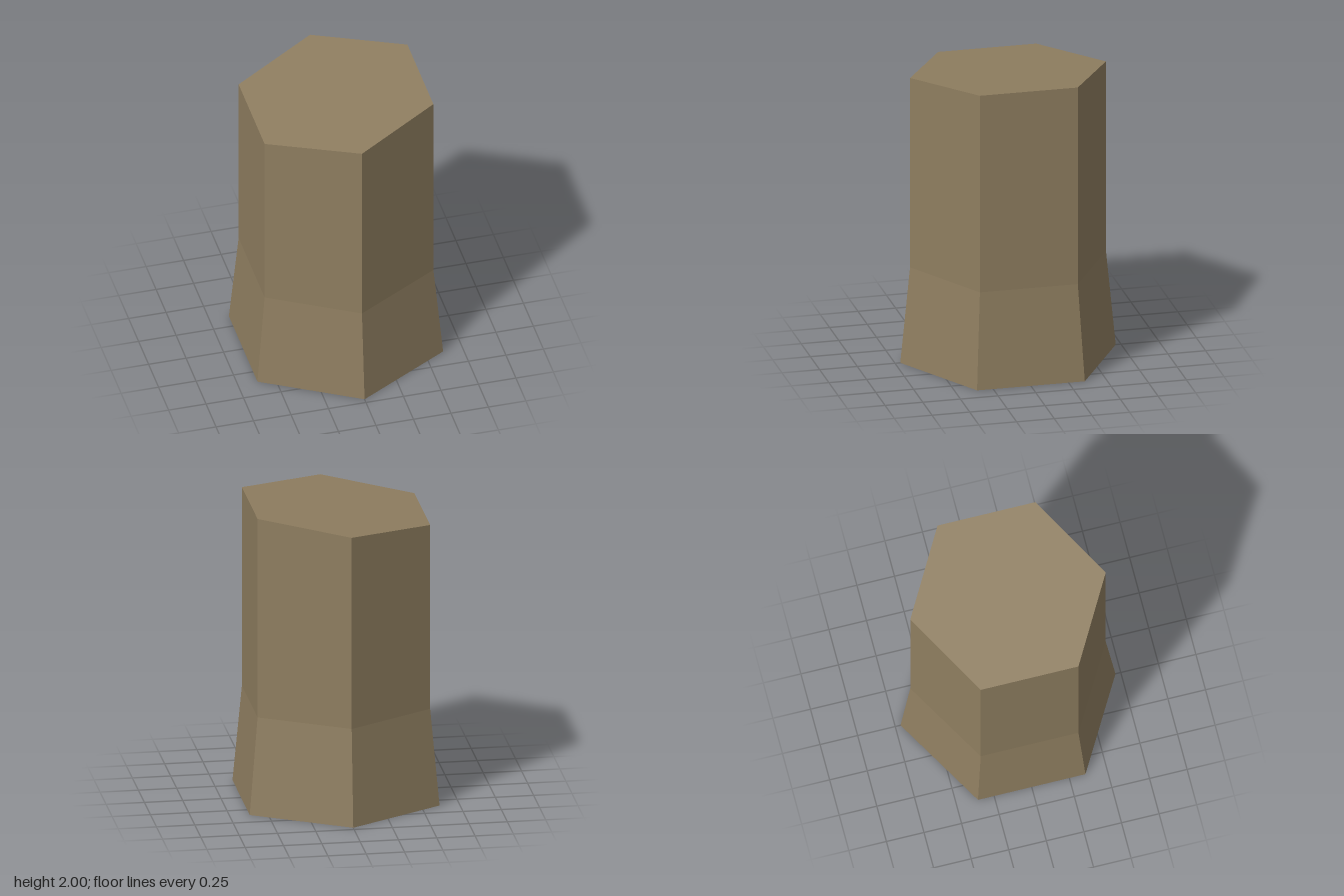
import * as THREE from 'three';

const stone = new THREE.MeshStandardMaterial({ color: 0x8f7e60 });
stone.name = 'brown stone';

export function createModel() {
  const model = new THREE.Group();
  model.name = 'basaltColumn';

  const footRadius = 0.715, shaftRadius = 0.65, shoulderY = 0.65, topY = 1.95;
  const tilt = 0.05 / (shaftRadius * Math.cos(Math.PI / 6)); // top rises towards +x

  // Six-sided column with corners on +z and -z: rows at foot, shoulder and top
  const column = new THREE.CylinderGeometry(1, 1, 2, 6, 2);
  const p = column.attributes.position;
  for (let i = 0; i < p.count; i++) {
    const row = Math.round(p.getY(i)); // -1 foot, 0 shoulder, 1 top
    const r = row < 0 ? footRadius : shaftRadius;
    const x = p.getX(i) * r, z = p.getZ(i) * r;
    const y = row < 0 ? 0 : row === 0 ? shoulderY : topY + tilt * x;
    p.setXYZ(i, x, y, z);
  }

  // Separate the faces so each side is flat
  const faceted = column.toNonIndexed();
  faceted.computeVertexNormals();

  const mesh = new THREE.Mesh(faceted, stone);
  mesh.name = 'column';
  model.add(mesh);
  return model;
}
